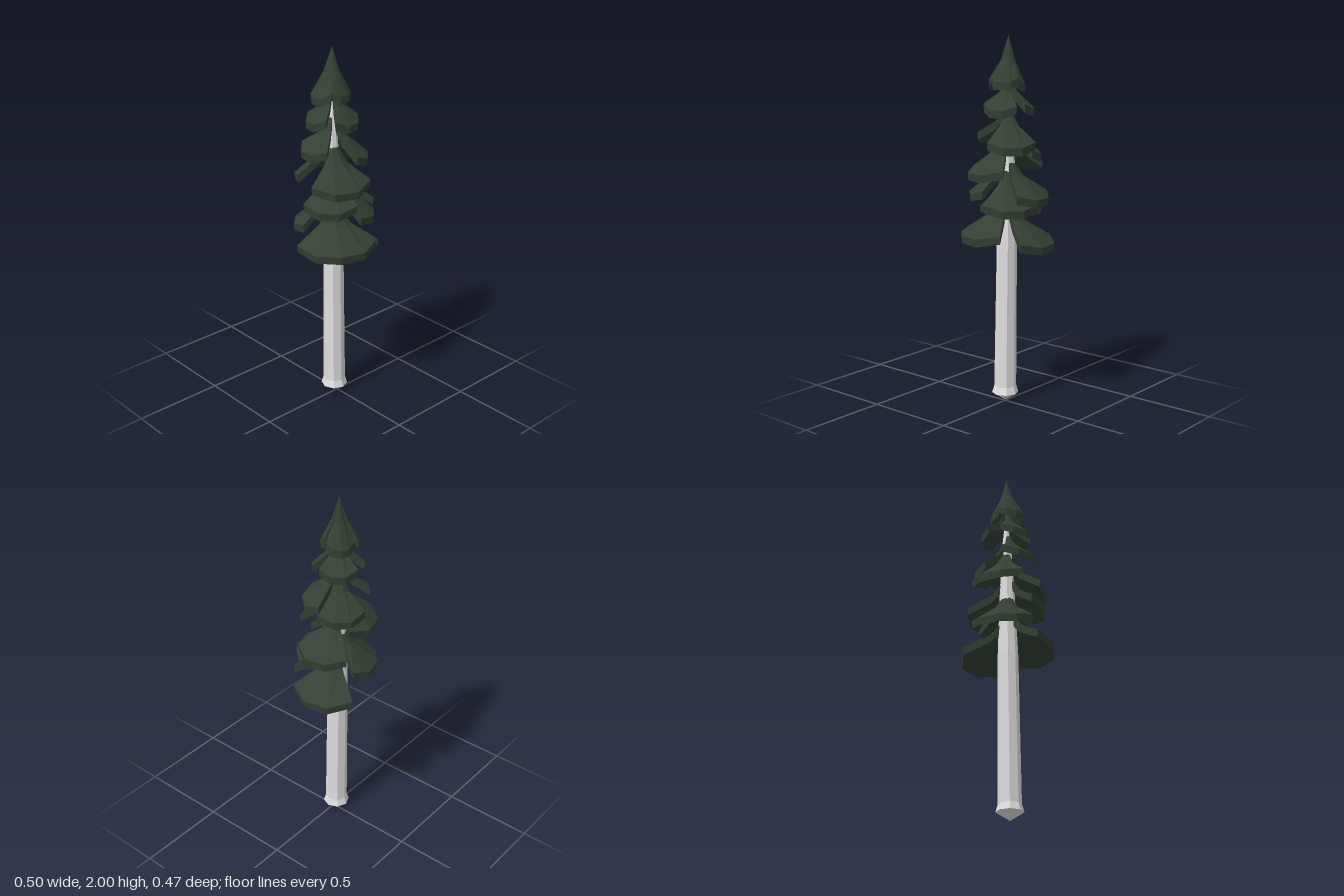
import * as THREE from 'three';

const needles = new THREE.MeshStandardMaterial({ color: 0x334033, flatShading: true });
needles.name = 'dark green needles';
const bark = new THREE.MeshStandardMaterial({ color: 0xe0e0e0, flatShading: true });
bark.name = 'pale grey bark';

// The trunk leans slightly: centre line at height y
const axisX = (y) => -0.01 + 0.004 * y;
const axisZ = (y) => -0.012 - 0.0125 * y;

// Tapered trunk with flared foot and pointed root, bent onto the centre line
function trunk() {
  const profile = [
    [0, 0], [0.073, 0.045], [0.061, 0.085], [0.058, 0.5],
    [0.055, 0.9], [0.042, 1.25], [0.026, 1.55], [0, 1.8],
  ];
  const geo = new THREE.LatheGeometry(profile.map(([r, y]) => new THREE.Vector2(r, y)), 8);
  const p = geo.attributes.position;
  for (let i = 0; i < p.count; i++) {
    const y = p.getY(i);
    p.setXYZ(i, p.getX(i) + axisX(y), y, p.getZ(i) + axisZ(y));
  }
  geo.computeVertexNormals();
  const mesh = new THREE.Mesh(geo, bark);
  mesh.name = 'trunk';
  return mesh;
}

// Drooping fan-shaped bough: a thick cross-section swept part way around the trunk
function bough(name, [angle, baseY, radius, half, rise]) {
  const segments = Math.round(half / 15.5);
  const cx = axisX(baseY);
  const cz = axisZ(baseY);
  const rings = [];
  for (let j = 0; j <= segments; j++) {
    const t = (j / segments) * 2 - 1;
    const a = THREE.MathUtils.degToRad(angle + t * half);
    const r = radius * (1 - 0.06 * t ** 4);
    const y = baseY + 0.025 * t ** 4;
    const knee = baseY + rise * 0.56;
    const section = [
      [0, baseY + rise], [r * 0.4, knee], [r, y + 0.042],
      [r * 0.98, y], [r * 0.4, knee - 0.045], [0, baseY + rise - 0.06],
    ];
    rings.push(section.map(([d, h]) => [cx + Math.cos(a) * d, h, cz + Math.sin(a) * d]));
  }
  const pos = [];
  const quad = (a, b, c, d) => pos.push(...a, ...b, ...c, ...a, ...c, ...d);
  for (let j = 0; j < segments; j++) {
    const [s, e] = [rings[j], rings[j + 1]];
    for (let k = 0; k < 5; k++) quad(s[k], e[k], e[k + 1], s[k + 1]);
  }
  // Cut ends
  const [first, last] = [rings[0], rings[segments]];
  for (let k = 0; k < 2; k++) {
    quad(first[k], first[k + 1], first[4 - k], first[5 - k]);
    quad(last[5 - k], last[4 - k], last[k + 1], last[k]);
  }
  const geo = new THREE.BufferGeometry();
  geo.setAttribute('position', new THREE.Float32BufferAttribute(pos, 3));
  geo.computeVertexNormals();
  const mesh = new THREE.Mesh(geo, needles);
  mesh.name = name;
  return mesh;
}

export function createModel() {
  const tree = new THREE.Group();
  tree.name = 'conifer';
  tree.add(trunk());

  // Boughs: direction (from +x towards +z), rim height, reach, half-spread, rise to trunk
  const boughs = new THREE.Group();
  boughs.name = 'boughs';
  [
    [-12, 0.855, 0.263, 46, 0.28],
    [122, 0.9, 0.256, 63, 0.265],
    [-120, 1.005, 0.215, 57, 0.28],
    [42, 1.055, 0.225, 46, 0.28],
    [-7, 1.105, 0.232, 44, 0.27],
    [138, 1.125, 0.21, 46, 0.26],
    [-108, 1.265, 0.21, 52, 0.28],
    [111, 1.235, 0.217, 54, 0.27],
    [-45, 1.335, 0.183, 46, 0.27],
    [42, 1.38, 0.19, 46, 0.26],
    [-172, 1.42, 0.174, 46, 0.23],
    [78, 1.57, 0.143, 47, 0.22],
    [-38, 1.575, 0.142, 47, 0.22],
    [-167, 1.575, 0.142, 47, 0.22],
  ].forEach((b) => boughs.add(bough('bough', b)));
  tree.add(boughs);

  // Pointed crown of three boughs meeting at the tip
  const crown = new THREE.Group();
  crown.name = 'crown';
  [
    [-165, 1.705, 0.112, 60, 0.295],
    [-45, 1.7, 0.09, 60, 0.3],
    [75, 1.715, 0.096, 60, 0.285],
  ].forEach((b) => crown.add(bough('crownBough', b)));
  tree.add(crown);

  return tree;
}
